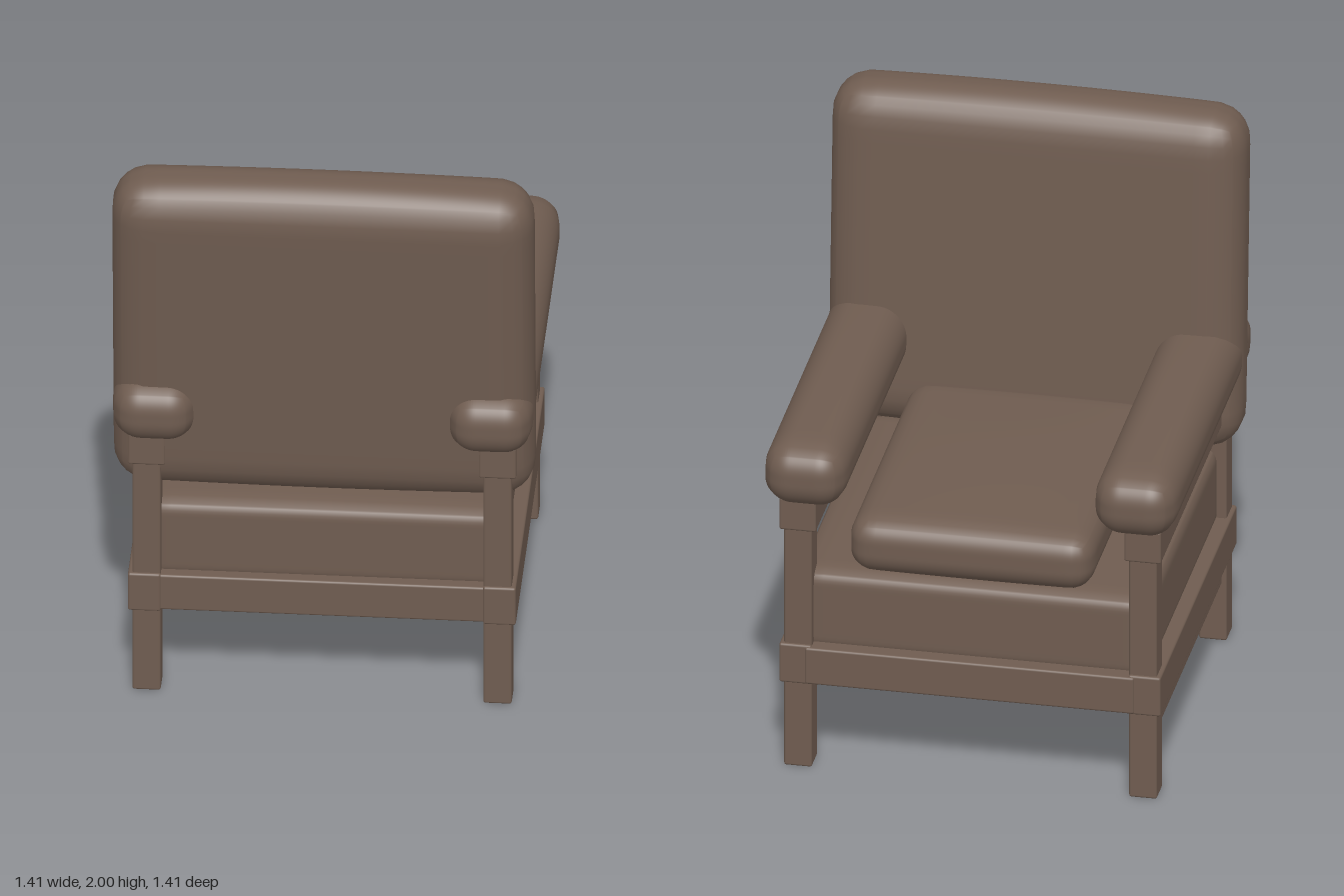
import * as THREE from 'three';
import { mergeVertices } from 'three/addons/utils/BufferGeometryUtils.js';
import { RoundedBoxGeometry } from 'three/addons/geometries/RoundedBoxGeometry.js';

const brown = new THREE.MeshStandardMaterial({ color: 0x6f5c50 });
brown.name = 'brown';

// Padded box: rounded edges, with faces along one axis crowned outwards
function padGeometry(size, r, axis, crown) {
  const base = new THREE.BoxGeometry(...size, 26, 26, 26);
  base.deleteAttribute('normal');
  base.deleteAttribute('uv');
  const g = mergeVertices(base);
  const pos = g.attributes.position;
  const half = size.map((s) => s / 2);
  const inner = new THREE.Vector3(...half).subScalar(r);
  const p = new THREE.Vector3(), q = new THREE.Vector3();
  for (let i = 0; i < pos.count; i++) {
    p.fromBufferAttribute(pos, i);
    q.copy(p).clamp(inner.clone().negate(), inner);
    p.sub(q).setLength(r).add(q);
    const a = p.toArray();
    let k = 1;
    for (let j = 0; j < 3; j++) if (j !== axis) k *= 1 - (a[j] / half[j]) ** 2;
    a[axis] *= 1 + (crown / half[axis]) * Math.max(k, 0);
    pos.setXYZ(i, ...a);
  }
  g.computeVertexNormals();
  return g;
}

export function createModel() {
  const chair = new THREE.Group();
  chair.name = 'armchair';

  const add = (name, geometry, x, y, z) => {
    const mesh = new THREE.Mesh(geometry, brown);
    mesh.name = name;
    mesh.position.set(x, y, z);
    chair.add(mesh);
    return mesh;
  };
  const timber = (name, w, h, d, x, y, z) =>
    add(name, new RoundedBoxGeometry(w, h, d, 2, 0.008), x, y, z);
  const pad = (name, size, r, axis, crown, x, y, z) =>
    add(name, padGeometry(size, r, axis, crown), x, y, z);

  for (const s of [1, -1]) {
    const side = s > 0 ? 'left' : 'right';
    // Frame on each side
    timber(side + 'FrontLeg', 0.095, 1.02, 0.095, s * 0.587, 0.51, -0.587);
    timber(side + 'BackLeg', 0.095, 1.02, 0.095, s * 0.587, 0.51, 0.587);
    timber(side + 'SeatRail', 0.11, 0.145, 1.29, s * 0.594, 0.388, 0);
    timber(side + 'Stretcher', 0.06, 0.07, 1.12, s * 0.587, 0.245, 0);
    timber(side + 'ArmRail', 0.125, 0.12, 1.28, s * 0.587, 0.945, 0);
    // Padded arm, crowned along the top
    pad(side + 'Armrest', [0.28, 0.22, 1.41], 0.095, 1, 0.012, s * 0.562, 1.1, 0);
  }

  // Cross rails of the seat frame
  timber('frontSeatRail', 1.12, 0.135, 0.1, 0, 0.388, -0.603);
  timber('backSeatRail', 1.12, 0.135, 0.1, 0, 0.388, 0.59);

  // Upholstered seat base and loose cushion
  pad('seatBase', [1.2, 0.3, 1.2], 0.05, 1, 0.012, 0, 0.57, 0);
  pad('seatCushion', [0.83, 0.2, 1.1], 0.08, 1, 0.02, 0, 0.85, -0.115);

  // Reclined backrest
  const back = pad('backrest', [1.41, 1.21, 0.27], 0.12, 1, 0.015, 0, 1.38, 0.53);
  back.rotation.x = 0.07;

  return chair;
}
